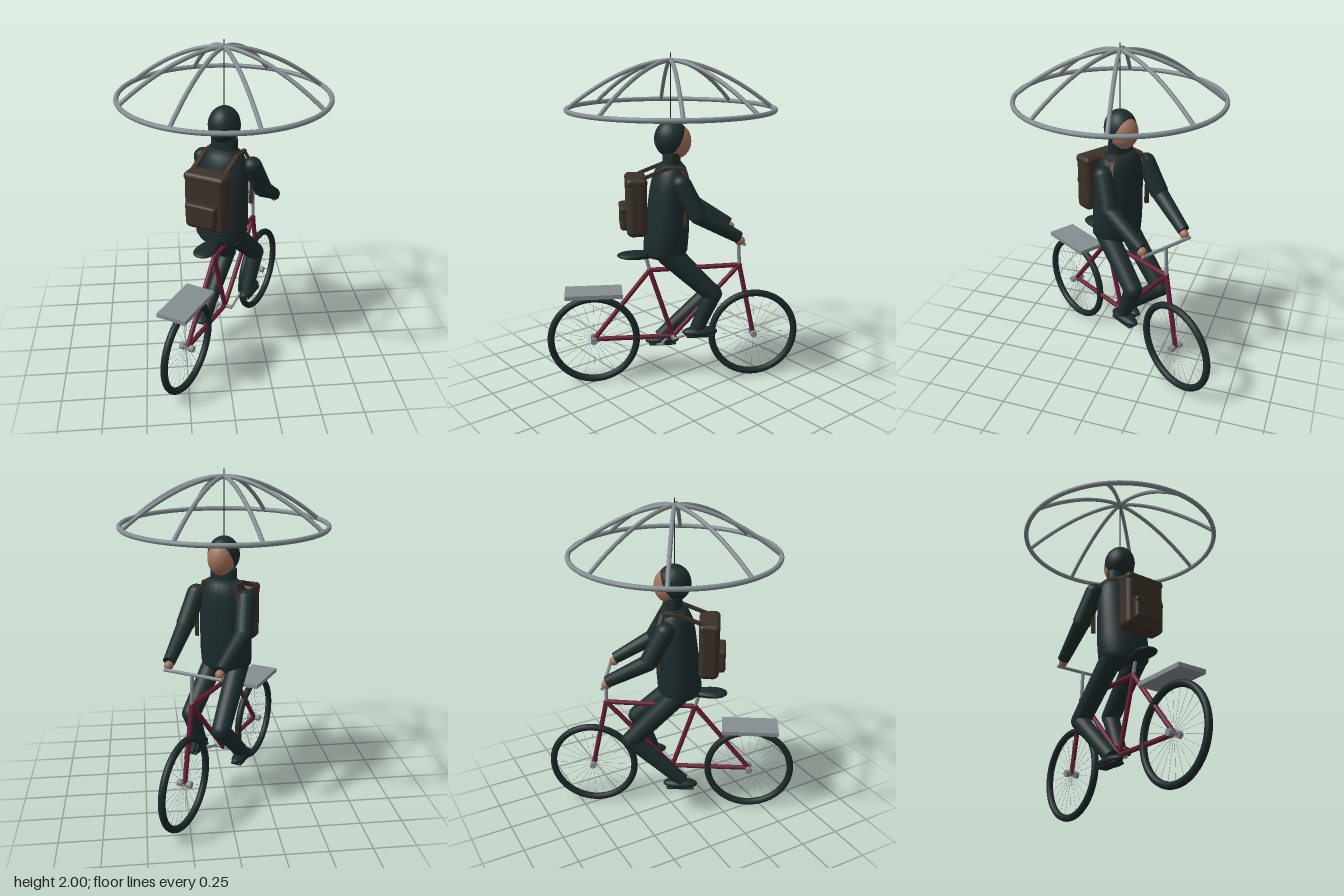
import * as THREE from 'three';
import { RoundedBoxGeometry } from 'three/addons/geometries/RoundedBoxGeometry.js';

const mat = (name, color) => Object.assign(new THREE.MeshStandardMaterial({ color }), { name });
const V = (x, y, z) => new THREE.Vector3(x, y, z);

export function createModel() {
  const cloth = mat('dark green cloth', 0x1d2c2d);
  const rubber = mat('dark rubber', 0x1c2829);
  const metal = mat('grey metal', 0x858d91);
  const paint = mat('crimson paint', 0x681c36);
  const leather = mat('brown canvas', 0x3b3129);
  const skin = mat('skin', 0xa2745d);

  // Local frame: +z is the riding direction, +x the rider's left.
  const rider = new THREE.Group();
  rider.name = 'cyclistWithCanopy';

  const add = (parent, name, geo, material, pos) => {
    const m = new THREE.Mesh(geo, material);
    m.name = name;
    if (pos) m.position.copy(pos);
    parent.add(m);
    return m;
  };
  // Tapered rod from a to b
  const rod = (parent, name, a, b, r1, r2, material, sides = 14) => {
    const d = b.clone().sub(a);
    const m = add(parent, name, new THREE.CylinderGeometry(r2, r1, d.length(), sides), material,
      a.clone().add(b).multiplyScalar(0.5));
    m.quaternion.setFromUnitVectors(V(0, 1, 0), d.normalize());
    return m;
  };
  const ball = (parent, name, p, sx, sy, sz, material) => {
    const m = add(parent, name, new THREE.SphereGeometry(1, 28, 20), material, p);
    m.scale.set(sx, sy, sz);
    return m;
  };
  const group = (name) => {
    const g = new THREE.Group();
    g.name = name;
    rider.add(g);
    return g;
  };

  // Wheels
  const axleY = 0.285, base = 0.4965;
  for (const [name, z] of [['rearWheel', -base], ['frontWheel', base]]) {
    const w = group(name);
    w.position.set(0, axleY, z);
    add(w, 'tyre', new THREE.TorusGeometry(0.262, 0.021, 12, 56), rubber).rotation.y = Math.PI / 2;
    for (let i = 0; i < 24; i++) {
      const a = (i / 24) * Math.PI * 2;
      rod(w, 'spoke', V(0, 0, 0), V(0, Math.sin(a) * 0.25, Math.cos(a) * 0.25), 0.0008, 0.0008, metal, 5);
    }
    rod(w, 'axle', V(-0.045, 0, 0), V(0.045, 0, 0), 0.012, 0.012, metal);
    for (const s of [-1, 1]) rod(w, 'hubFlange', V(s * 0.018, 0, 0), V(s * 0.044, 0, 0), 0.02, 0.02, metal);
  }

  // Frame
  const frame = group('frame');
  const rear = V(0, axleY, -base), front = V(0, axleY, base);
  const crank = V(0, axleY, -0.01), seat = V(0, 0.72, -0.15), head = V(0, 0.735, 0.4);
  const tubes = { chainStay: [rear, crank], seatStay: [rear, seat], seatTube: [crank, seat],
    topTube: [seat, head], downTube: [crank, head], fork: [front, head] };
  for (const [name, [a, b]] of Object.entries(tubes)) rod(frame, name, a, b, 0.0145, 0.0145, paint);
  for (const p of [crank, seat, head]) ball(frame, 'joint', p, 0.016, 0.016, 0.016, paint);

  // Handlebar, saddle and rack
  rod(frame, 'stem', head, V(0, 0.917, 0.391), 0.011, 0.011, metal);
  rod(frame, 'handlebar', V(-0.178, 0.917, 0.391), V(0.186, 0.917, 0.391), 0.01, 0.01, metal);
  rod(frame, 'seatPost', seat, V(0, 0.815, -0.175), 0.011, 0.011, metal);
  const saddleGeo = new THREE.SphereGeometry(1, 28, 16);
  const sp = saddleGeo.attributes.position;
  for (let i = 0; i < sp.count; i++) {
    const t = (1 - sp.getZ(i)) / 2;
    sp.setX(i, sp.getX(i) * (0.3 + 0.8 * t));
  }
  saddleGeo.scale(0.08, 0.025, 0.135);
  saddleGeo.computeVertexNormals();
  add(frame, 'saddle', saddleGeo, rubber, V(0, 0.818, -0.21));
  add(frame, 'rack', new THREE.BoxGeometry(0.182, 0.025, 0.345), metal, V(0.003, 0.588, -0.491));

  // Cranks and pedals
  rod(frame, 'crankAxle', V(-0.05, axleY, -0.01), V(0.05, axleY, -0.01), 0.012, 0.012, metal);
  for (const [s, y, z] of [[-1, 0.322, 0.11], [1, 0.205, -0.08]]) {
    rod(frame, 'crankArm', V(s * 0.05, axleY, -0.01), V(s * 0.05, y, z), 0.008, 0.008, metal);
    add(frame, 'pedal', new THREE.BoxGeometry(0.07, 0.014, 0.05), metal, V(s * 0.085, y, z));
  }

  // Jacket: oval lathe leaning slightly forward towards the shoulders
  const body = group('body');
  const profile = [[0, 0.812], [0.1, 0.812], [0.135, 0.82], [0.155, 0.85], [0.16, 0.95], [0.156, 1.1],
    [0.152, 1.22], [0.14, 1.3], [0.115, 1.35], [0.085, 1.375], [0, 1.38]];
  const torso = new THREE.LatheGeometry(profile.map(([r, y]) => new THREE.Vector2(r, y)), 36);
  const tp = torso.attributes.position;
  for (let i = 0; i < tp.count; i++) {
    const t = (tp.getY(i) - 0.82) / 0.56;
    tp.setZ(i, tp.getZ(i) * (0.86 - 0.12 * t) - 0.057 + 0.04 * t);
  }
  torso.computeVertexNormals();
  add(body, 'jacket', torso, cloth);
  const collar = rod(body, 'collar', V(0, 1.32, -0.017), V(0, 1.44, -0.017), 0.083, 0.083, cloth, 28);
  collar.scale.z = 0.62;

  // Head and hood
  ball(body, 'face', V(0, 1.502, 0.004), 0.083, 0.104, 0.095, skin);
  ball(body, 'hood', V(0, 1.517, -0.018), 0.092, 0.109, 0.1, cloth);

  // Arms: wide upper sleeves with narrower forearms
  for (const s of [-1, 1]) {
    const shoulder = V(s * 0.16, 1.28, 0.022), elbow = V(s * 0.19, 1.1, 0.115);
    const wrist = V(s * 0.163, 0.957, 0.36);
    const arm = group(s > 0 ? 'leftArm' : 'rightArm');
    ball(arm, 'shoulder', shoulder, 0.056, 0.052, 0.056, cloth);
    rod(arm, 'upperArm', shoulder, elbow, 0.056, 0.055, cloth, 22);
    ball(arm, 'elbow', elbow, 0.05, 0.05, 0.05, cloth);
    rod(arm, 'forearm', elbow, wrist, 0.05, 0.036, cloth, 22);
    ball(arm, 'hand', V(s * 0.161, 0.937, 0.366), 0.026, 0.028, 0.03, skin);
  }

  // Legs
  const legs = [
    ['rightLeg', V(-0.08, 0.845, -0.055), V(-0.1, 0.59, 0.222), V(-0.095, 0.365, 0.125), V(-0.1, 0.35, 0.145)],
    ['leftLeg', V(0.08, 0.845, -0.055), V(0.105, 0.53, 0.238), V(0.1, 0.24, -0.08), V(0.1, 0.22, -0.066)],
  ];
  for (const [name, hip, knee, ankle, foot] of legs) {
    const leg = group(name);
    ball(leg, 'hip', hip, 0.064, 0.064, 0.064, cloth);
    rod(leg, 'thigh', hip, knee, 0.066, 0.056, cloth, 22);
    ball(leg, 'knee', knee, 0.055, 0.055, 0.055, cloth);
    rod(leg, 'shin', knee, ankle, 0.053, 0.042, cloth, 22);
    ball(leg, 'shoe', foot, 0.045, 0.03, 0.108, rubber);
    add(leg, 'sole', new RoundedBoxGeometry(0.07, 0.016, 0.17, 3, 0.007), rubber, foot.clone().add(V(0, -0.021, 0)));
  }

  // Backpack with pocket, lid and shoulder straps
  const pack = group('backpack');
  add(pack, 'bag', new RoundedBoxGeometry(0.255, 0.345, 0.12, 5, 0.036), leather, V(-0.003, 1.13, -0.228));
  add(pack, 'lid', new RoundedBoxGeometry(0.258, 0.055, 0.124, 5, 0.026), leather, V(-0.003, 1.278, -0.228));
  add(pack, 'pocket', new RoundedBoxGeometry(0.188, 0.135, 0.055, 4, 0.02), leather, V(0, 1.062, -0.298));
  add(pack, 'pocketFlap', new RoundedBoxGeometry(0.192, 0.04, 0.058, 3, 0.014), leather, V(0, 1.115, -0.298));
  for (const s of [-1, 1]) {
    const path = [V(s * 0.1, 1.3, -0.2), V(s * 0.1, 1.355, -0.06), V(s * 0.1, 1.355, 0.04),
      V(s * 0.138, 1.27, 0.066), V(s * 0.145, 1.03, 0.05)];
    for (let i = 0; i < path.length - 1; i++) {
      const a = path[i], b = path[i + 1];
      const strap = add(pack, 'strap', new THREE.BoxGeometry(0.024, 0.018, a.distanceTo(b) + 0.012), leather,
        a.clone().add(b).multiplyScalar(0.5));
      strap.lookAt(b);
    }
  }

  // Canopy frame: rim, eight curved ribs and the pole
  const canopy = group('canopy');
  canopy.position.z = -0.021;
  const R = 0.594, rimY = 1.69, topY = 1.96;
  add(canopy, 'rim', new THREE.TorusGeometry(R, 0.014, 12, 80), metal, V(0, rimY, 0)).rotation.x = Math.PI / 2;
  const ribPoints = [];
  for (let i = 0; i <= 8; i++) {
    const t = i / 8;
    ribPoints.push(V(0, topY - (topY - rimY) * Math.pow(t, 1.75), R * t));
  }
  const ribGeo = new THREE.TubeGeometry(new THREE.CatmullRomCurve3(ribPoints), 28, 0.012, 10);
  for (let i = 0; i < 8; i++) add(canopy, 'rib', ribGeo, metal).rotation.y = (i * Math.PI) / 4;
  ball(canopy, 'crown', V(0, topY, 0), 0.014, 0.013, 0.014, metal);
  rod(canopy, 'pole', V(0, 1.58, 0), V(0, 2, 0), 0.003, 0.003, rubber, 8);

  // Turn the ride direction towards the right rear
  rider.rotation.y = Math.PI - 0.5596;
  rider.position.set(0.0115, 0, 0.005);
  const model = new THREE.Group();
  model.name = 'model';
  model.add(rider);
  return model;
}
